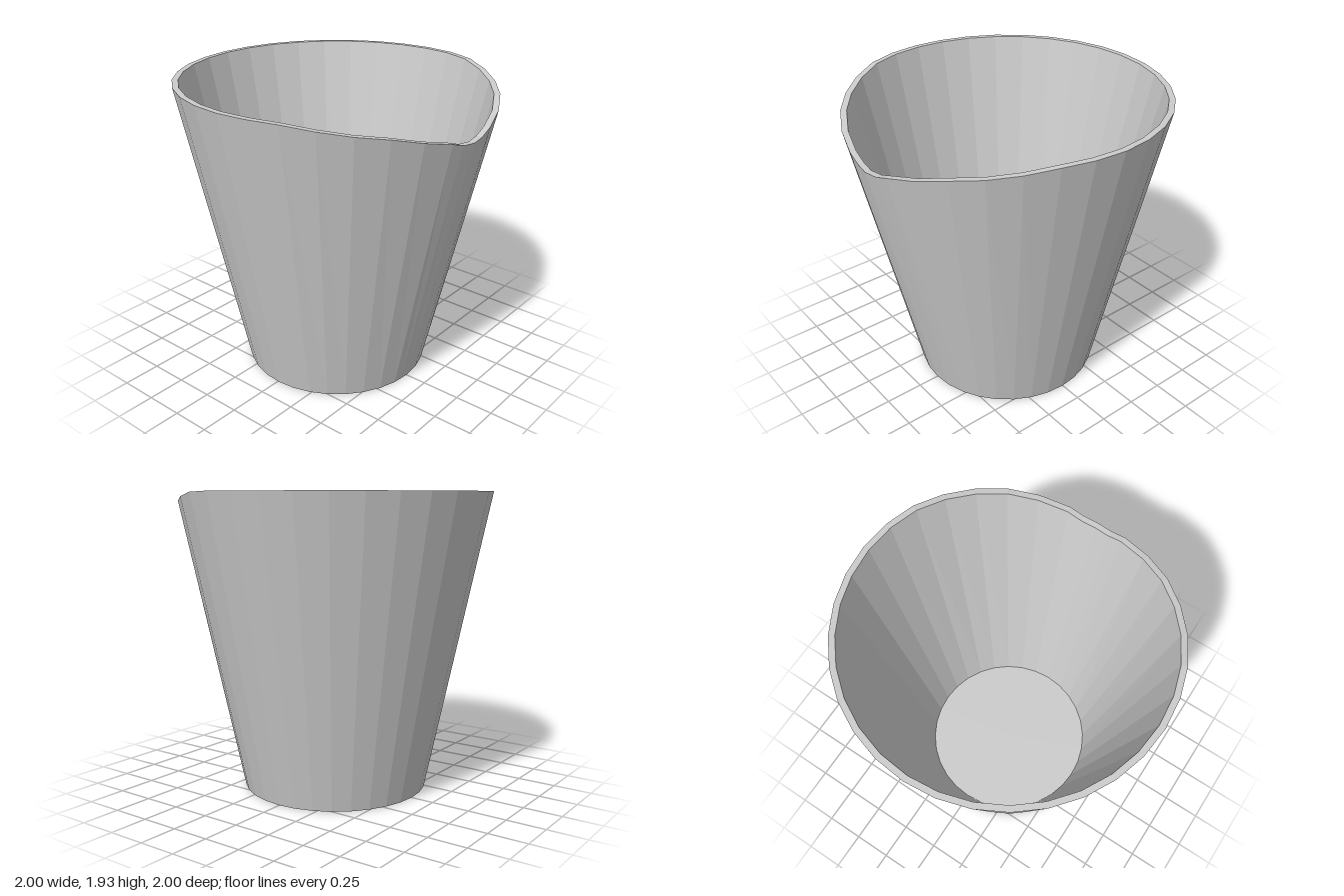
import * as THREE from 'three';

const SIDES = 32;
const RIM_Y = 1.93;
// Rim height at each step away from the spout (on the +x side)
const SPOUT = [1.718, 1.757, 1.80, 1.845, 1.872, 1.90, 1.925];

// Stations around the wall, with one extra halfway point either side of the spout
function stations() {
  const list = [];
  for (let i = 0; i < SIDES; i++) {
    const angle = (i / SIDES) * Math.PI * 2;
    const fromSpout = Math.min(i, SIDES - i);
    if (i === SIDES - 1) {
      list.push({ angle, scale: 1, y: SPOUT[1] });
      list.push({ angle: angle + Math.PI / SIDES, scale: Math.cos(Math.PI / SIDES), y: 1.726 });
      continue;
    }
    list.push({ angle, scale: 1, y: SPOUT[fromSpout] ?? RIM_Y });
    if (i === 0) list.push({ angle: Math.PI / SIDES, scale: Math.cos(Math.PI / SIDES), y: 1.726 });
  }
  return list;
}

// One closed skin: underside, outer wall, rim, inner wall, floor
function cupGeometry() {
  const rings = [
    { r: 0, y: 0, shift: 0.005 },
    { r: 0.602, y: 0, shift: 0.005 },
    { r: 1, rim: true, shift: 0 },
    { r: 0.962, rim: true, shift: 0 },
    { r: 0.562, y: 0.04, shift: 0.005 },
    { r: 0, y: 0.04, shift: 0.005 },
  ];
  const around = stations();
  const positions = [];
  const index = [];
  for (const ring of rings) {
    for (const s of around) {
      const r = ring.r * s.scale;
      positions.push(ring.shift + r * Math.cos(s.angle), ring.rim ? s.y : ring.y, r * Math.sin(s.angle));
    }
  }
  const n = around.length;
  for (let j = 0; j < rings.length - 1; j++) {
    for (let i = 0; i < n; i++) {
      const k = (i + 1) % n;
      const a = j * n + i, b = a + n, c = (j + 1) * n + k, d = j * n + k;
      if (rings[j + 1].r > 0) index.push(a, b, c);
      if (rings[j].r > 0) index.push(a, c, d);
    }
  }
  const indexed = new THREE.BufferGeometry();
  indexed.setAttribute('position', new THREE.Float32BufferAttribute(positions, 3));
  indexed.setIndex(index);
  const geometry = indexed.toNonIndexed();
  geometry.computeVertexNormals();
  return geometry;
}

export function createModel() {
  const group = new THREE.Group();
  group.name = 'spoutedCup';
  const material = new THREE.MeshStandardMaterial({ color: 0xcccccc, flatShading: true });
  const cup = new THREE.Mesh(cupGeometry(), material);
  cup.name = 'cupBody';
  group.add(cup);
  return group;
}
